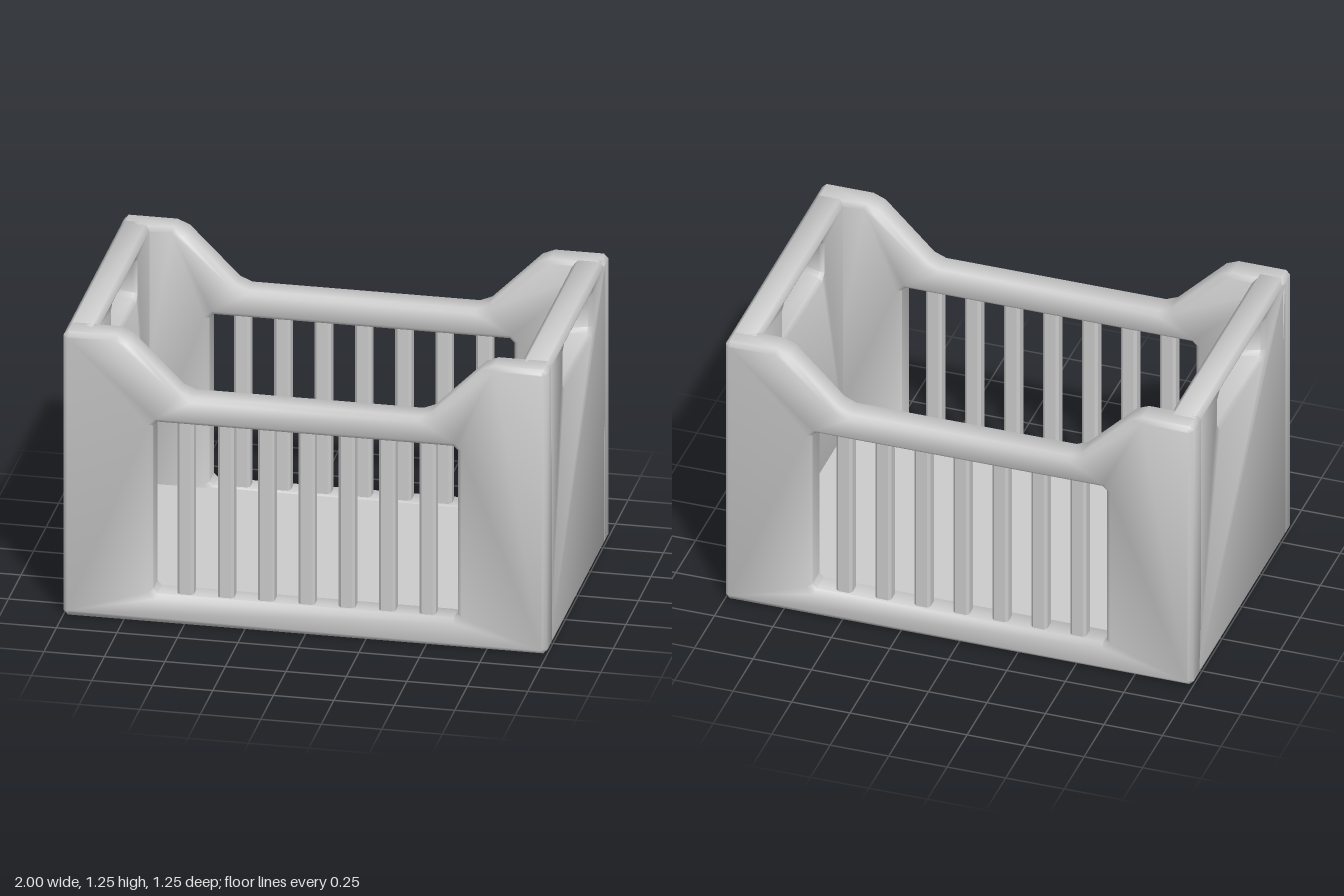
import * as THREE from 'three';
import { toCreasedNormals } from 'three/addons/utils/BufferGeometryUtils.js';

const W = 1, D = 0.625, T = 0.125, B = 0.018; // half width, half depth, wall thickness, chamfer
const material = new THREE.MeshStandardMaterial({ color: 0xcccccc });

// Cuts every corner of an outline; a point may carry its own cut as third value.
function chamfered(points, PathType = THREE.Shape) {
  const out = [];
  points.forEach(([x, y, cut = B], i) => {
    const p = new THREE.Vector2(x, y);
    for (const step of [-1, 1]) {
      const q = points[(i + step + points.length) % points.length];
      const dir = new THREE.Vector2(q[0] - x, q[1] - y).normalize();
      out.push(p.clone().addScaledVector(dir, cut));
    }
  });
  return new PathType(out);
}

const rect = (x, y0, y1, cut = B) => [[-x, y0, cut], [x, y0, cut], [x, y1, cut], [-x, y1, cut]];

// Chamfered slab of wall thickness, centred on z = 0.
function slab(outline, hole) {
  const shape = chamfered(outline);
  shape.holes.push(chamfered(hole, THREE.Path));
  return new THREE.ExtrudeGeometry(shape, {
    depth: T - 2 * B, bevelThickness: B, bevelSize: B, bevelOffset: -B, bevelSegments: 1,
  }).translate(0, 0, -T / 2 + B);
}

function add(group, name, geometry) {
  const mesh = new THREE.Mesh(geometry, material);
  mesh.name = name;
  group.add(mesh);
  return mesh;
}

export function createModel() {
  const model = new THREE.Group();
  model.name = 'crate';

  // Long sides: raised corners, low middle rail, window for the bars
  const sideGeometry = toCreasedNormals(slab(
    [[-W, 0], [W, 0], [W, 1.25], [0.75, 1.25, 0.03], [0.5, 1, 0.03],
      [-0.5, 1, 0.03], [-0.75, 1.25, 0.03], [-W, 1.25]],
    rect(0.63, 0.125, 0.882),
  ), 0.9);

  // Short ends: hand hole that widens toward the outside
  const endGeometry = slab(rect(D - T / 2, 0, 1.25), rect(0.25, 1.045, 1.21));
  const pos = endGeometry.attributes.position;
  for (let i = 0; i < pos.count; i++) {
    const x = pos.getX(i), y = pos.getY(i);
    if (Math.abs(x) < 0.3 && y > 1 && y < 1.235) {
      pos.setX(i, x * (1 + 0.16 * (pos.getZ(i) / T + 0.5)));
    }
  }
  const endSmooth = toCreasedNormals(endGeometry, 0.9);

  // Upright bar with chamfered corners
  const r = 0.034, c = 0.011;
  const barGeometry = new THREE.ExtrudeGeometry(
    chamfered(rect(r, -r, r, c)),
    { depth: 0.8, bevelEnabled: false },
  ).rotateX(-Math.PI / 2);

  for (const s of [1, -1]) {
    const side = add(model, s > 0 ? 'frontWall' : 'backWall', sideGeometry);
    side.position.z = s * (D - T / 2);
    side.rotation.y = s > 0 ? 0 : Math.PI;

    const end = add(model, s > 0 ? 'leftEndWall' : 'rightEndWall', endSmooth);
    end.position.x = s * (W - T / 2);
    end.rotation.y = s * Math.PI / 2;

    const bars = new THREE.Group();
    bars.name = s > 0 ? 'frontBars' : 'backBars';
    for (let i = 0; i < 7; i++) {
      add(bars, 'bar', barGeometry).position.set(-0.5 + i / 6, 0.1, s * (D - T / 2));
    }
    model.add(bars);
  }

  // Floor, let into the walls
  add(model, 'floor', new THREE.BoxGeometry(1.86, 0.12, 1.1).translate(0, 0.06, 0));

  return model;
}
